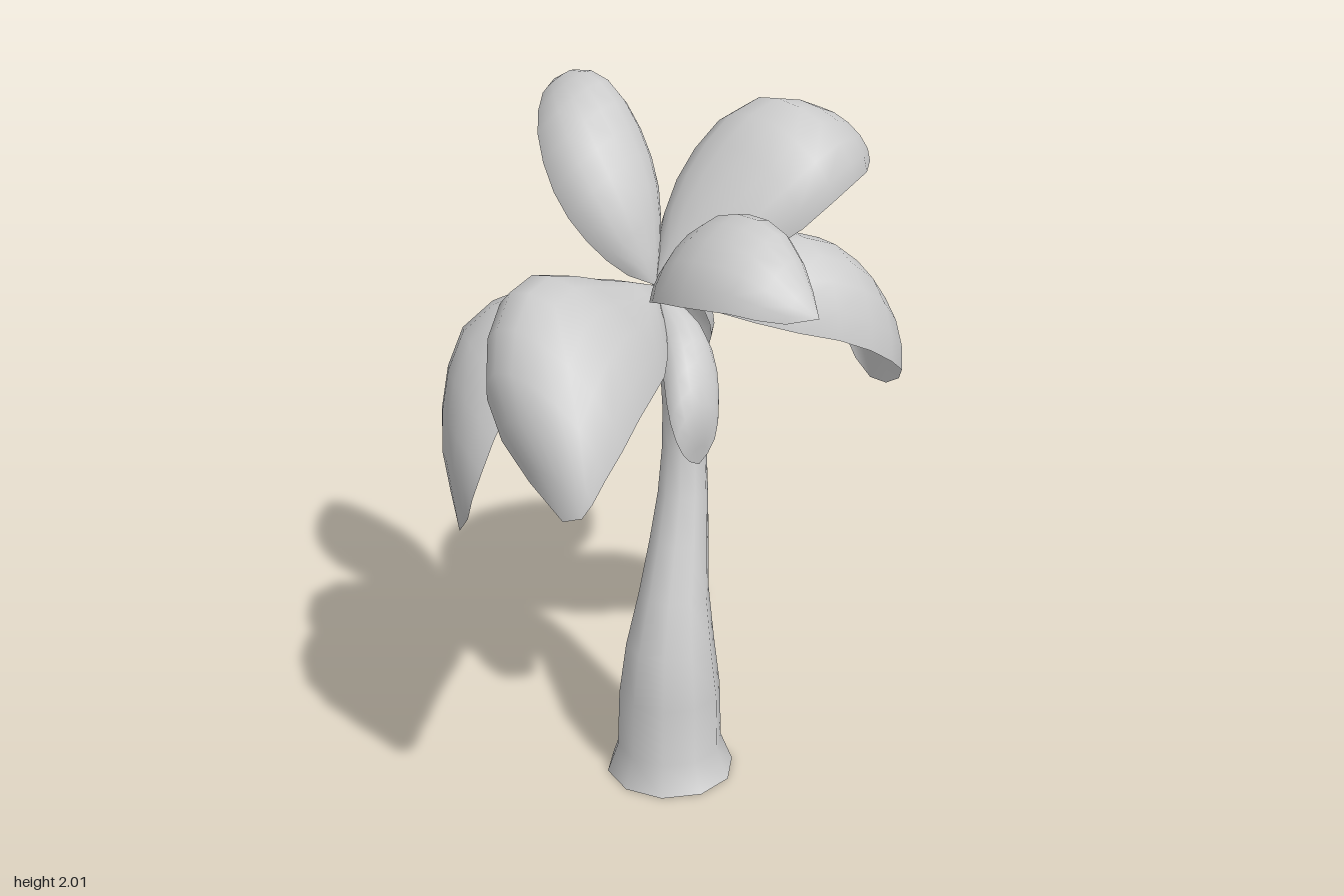
import * as THREE from 'three';
import { mergeVertices } from 'three/addons/utils/BufferGeometryUtils.js';

const material = new THREE.MeshStandardMaterial({ color: 0xcccccc, side: THREE.DoubleSide });
const hub = new THREE.Vector3(-0.045, 1.48, -0.07);
const vec = (p) => new THREE.Vector3(...p);

// Smooth surface from a rule giving a point for each (row, column)
function gridMesh(name, rows, cols, pointAt) {
  const positions = [], index = [];
  for (let i = 0; i <= rows; i++)
    for (let j = 0; j <= cols; j++) positions.push(...pointAt(i, j).toArray());
  for (let i = 0; i < rows; i++)
    for (let j = 0; j < cols; j++) {
      const a = i * (cols + 1) + j, b = a + cols + 1;
      index.push(a, a + 1, b, a + 1, b + 1, b);
    }
  const grid = new THREE.BufferGeometry();
  grid.setAttribute('position', new THREE.Float32BufferAttribute(positions, 3));
  grid.setIndex(index);
  const geometry = mergeVertices(grid); // joins the seam for smooth normals
  geometry.computeVertexNormals();
  const mesh = new THREE.Mesh(geometry, material);
  mesh.name = name;
  return mesh;
}

// Arched frond: a midrib from the hub through the rib points (the last is the tip).
// left and right are the offsets of the edges from the midrib at the widest place.
function frond(name, rib, left, right) {
  const midrib = new THREE.CatmullRomCurve3([hub, ...rib.map(vec)]);
  const l = vec(left), r = vec(right);
  const across = r.clone().sub(l).divideScalar(2);
  const droop = r.clone().add(l).divideScalar(2);
  const rows = 10, cols = 8;
  return gridMesh(name, rows, cols, (i, j) => {
    const t = i / rows, angle = ((j / cols) * 2 - 1) * Math.PI / 2;
    const width = Math.max(0, Math.sin(Math.PI * t)) ** 0.85;
    return midrib.getPointAt(t)
      .addScaledVector(across, width * Math.sin(angle))
      .addScaledVector(droop, width * (1 - Math.cos(angle)));
  });
}

// Trunk rings: centre x, y, centre z, radius
const rings = [
  [-0.11, 0, 0.04, 0.19], [-0.1, 0.08, 0.028, 0.157], [-0.09, 0.25, 0.02, 0.152],
  [-0.077, 0.4, 0.01, 0.132], [-0.045, 0.55, -0.005, 0.105], [0.005, 0.7, -0.03, 0.088],
  [0.045, 0.83, -0.052, 0.075], [0.073, 0.96, -0.073, 0.066], [0.077, 1.08, -0.08, 0.062],
  [0.06, 1.2, -0.077, 0.058], [0.03, 1.32, -0.072, 0.055], [-0.01, 1.43, -0.07, 0.048],
  [-0.04, 1.485, -0.07, 0.005],
];

export function createModel() {
  const group = new THREE.Group();
  group.name = 'palmTree';

  // Leaning, tapering trunk with a flared foot, open underneath
  const sides = 10;
  group.add(gridMesh('trunk', rings.length - 1, sides, (i, j) => {
    const [x, y, z, r] = rings[i], a = -(j / sides) * Math.PI * 2;
    return new THREE.Vector3(x + r * Math.cos(a), y, z + r * Math.sin(a));
  }));

  // Crown: six large fronds and two small ones
  const crown = new THREE.Group();
  crown.name = 'crown';
  crown.add(
    frond('leftUpperFrond', [[0.14, 1.74, 0], [0.36, 1.92, 0.06], [0.6, 1.87, 0.02], [0.8, 1.76, -0.06]],
      [0.03, -0.08, -0.25], [0.04, -0.2, 0.185]),
    frond('leftLowerFrond', [[0.18, 1.565, 0.07], [0.4, 1.56, 0.16], [0.62, 1.37, 0.18], [0.685, 1.05, 0.13]],
      [0.01, -0.16, -0.19], [-0.06, -0.26, 0.19]),
    frond('frontFrond', [[-0.09, 1.71, 0.14], [-0.12, 1.73, 0.38], [-0.12, 1.56, 0.58]],
      [0.155, -0.085, -0.02], [-0.18, -0.185, 0.01]),
    frond('backUpperFrond', [[-0.05, 1.74, -0.14], [-0.03, 1.97, -0.32], [0.03, 2, -0.48], [0.07, 1.96, -0.585]],
      [-0.16, -0.14, -0.08], [0.17, -0.05, -0.08]),
    frond('rightFrond', [[-0.25, 1.54, -0.01], [-0.55, 1.61, 0.08], [-0.75, 1.43, 0.18], [-0.78, 1.13, 0.31]],
      [0.08, -0.27, 0.22], [0, -0.1, -0.21]),
    frond('backLowerFrond', [[-0.2, 1.485, -0.27], [-0.39, 1.36, -0.47], [-0.51, 1.08, -0.47], [-0.52, 0.78, -0.4]],
      [-0.06, -0.13, 0.26], [0.17, -0.15, -0.08]),
    frond('smallFrontFrond', [[-0.11, 1.41, 0.12], [-0.18, 1.22, 0.23], [-0.17, 1.06, 0.21]],
      [0.08, -0.08, 0], [-0.1, -0.1, -0.02]),
    frond('smallBackFrond', [[0.14, 1.46, -0.12], [0.235, 1.3, -0.17], [0.18, 1.14, -0.2]],
      [-0.06, -0.08, -0.11], [-0.06, -0.07, 0.11]),
  );
  group.add(crown);
  return group;
}
